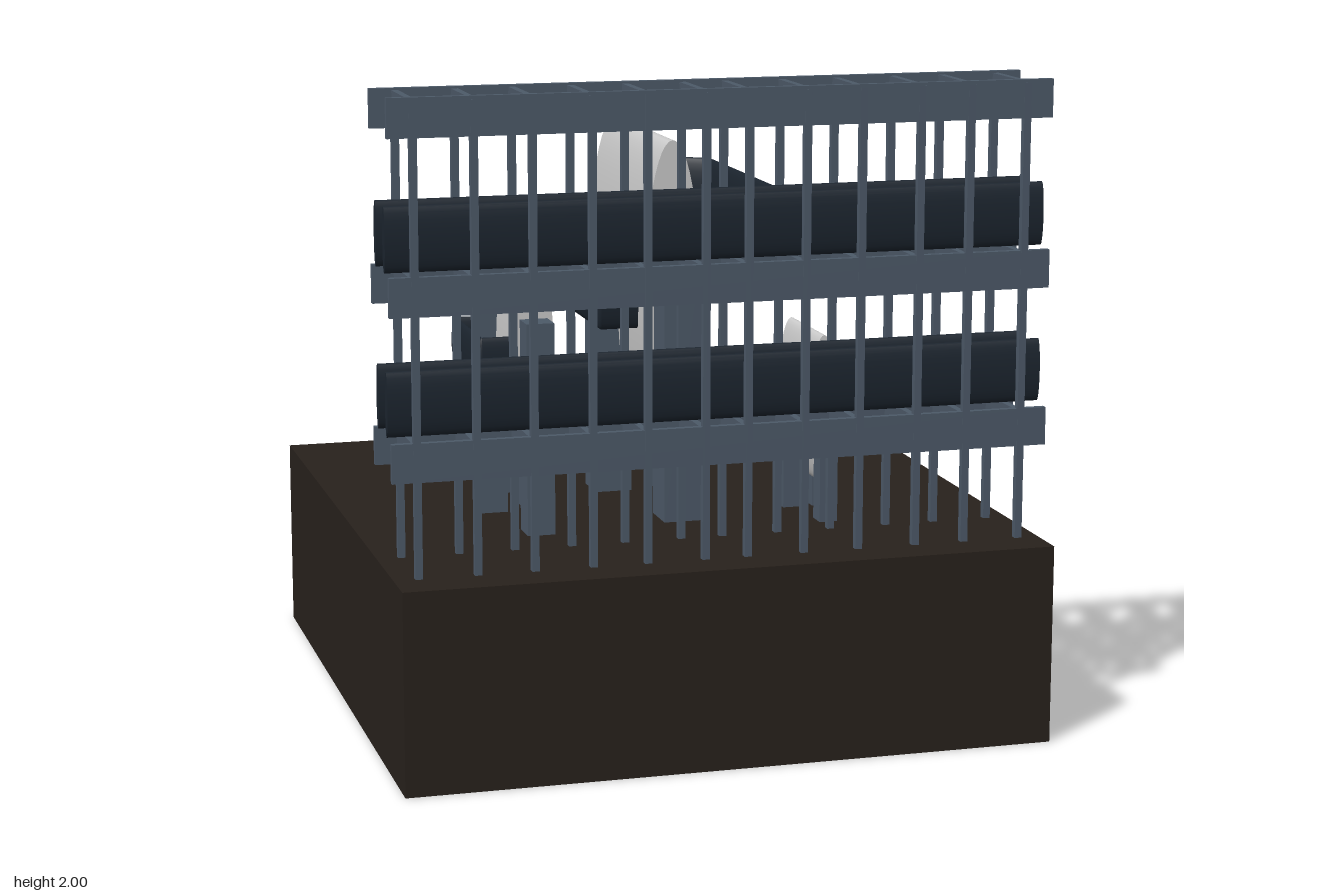
import * as THREE from 'three';
import { mergeGeometries } from 'three/addons/utils/BufferGeometryUtils.js';

const STRETCH = 5; // round parts are taller than they are wide
const GROUND = 0.61;
const steel = new THREE.MeshStandardMaterial({ color: 0x4d5a69 });
const darkPipe = new THREE.MeshStandardMaterial({ color: 0x1c252f });
const soil = new THREE.MeshStandardMaterial({ color: 0x28211c });
const grey = new THREE.MeshStandardMaterial({ color: 0xcccccc });

function add(parent, name, geometry, material) {
  const mesh = new THREE.Mesh(geometry, material);
  mesh.name = name;
  parent.add(mesh);
  return mesh;
}

// Box given by its extents on each axis
function box(parent, name, [x0, x1], [y0, y1], [z0, z1], material) {
  const mesh = add(parent, name, new THREE.BoxGeometry(x1 - x0, y1 - y0, z1 - z0), material);
  mesh.position.set((x0 + x1) / 2, (y0 + y1) / 2, (z0 + z1) / 2);
  return mesh;
}

// Pipe through points, with ball joints at the bends and an oval, upright section
function pipe(parent, name, points, radius) {
  const pts = points.map(([x, y, z]) => new THREE.Vector3(x, y / STRETCH, z));
  const up = new THREE.Vector3(0, 1, 0);
  const parts = [];
  for (let i = 0; i < pts.length - 1; i++) {
    const dir = pts[i + 1].clone().sub(pts[i]);
    const g = new THREE.CylinderGeometry(radius, radius, dir.length(), 20);
    g.applyQuaternion(new THREE.Quaternion().setFromUnitVectors(up, dir.normalize()));
    const mid = pts[i].clone().lerp(pts[i + 1], 0.5);
    parts.push(g.translate(mid.x, mid.y, mid.z));
    if (i > 0) parts.push(new THREE.SphereGeometry(radius, 20, 12).translate(...pts[i].toArray()));
  }
  add(parent, name, mergeGeometries(parts).scale(1, STRETCH, 1), darkPipe);
}

// Tank on four legs, with a side loop and an outlet running to the rack
function tankUnit(name, x, y, z, s, legTop, outletEndY) {
  const unit = new THREE.Group();
  unit.name = name;

  const shell = new THREE.CylinderGeometry(0.09 * s, 0.09 * s, 0.685 * s, 48).rotateX(Math.PI / 2);
  shell.scale(1, 0.49 / 0.09, 1);
  add(unit, 'tankShell', shell, grey).position.set(x, y, z);

  // end legs and side legs
  const leg = (legName, dx, dz) => box(unit, legName,
    [x + (dx - 0.06) * s, x + (dx + 0.06) * s], [GROUND, legTop],
    [z + (dz - 0.066) * s, z + (dz + 0.066) * s], steel);
  leg('frontLeg', 0, 0.4);
  leg('backLeg', 0, -0.4);
  leg('leftLeg', 0.097, -0.05);
  leg('rightLeg', -0.103, -0.05);

  const r = 0.021 * s;
  const at = (dx, dz, py = y) => [x + dx * s, py, z + dz * s];
  pipe(unit, 'sideLoopPipe', [at(-0.06, -0.27), at(-0.205, -0.27), at(-0.205, 0.25), at(-0.06, 0.25)], r);
  const outY = y + 0.295 * s;
  pipe(unit, 'outletPipe', [at(0.065, -0.03), at(0.2, 0.07), [x + 0.2 * s, 0, 0.67]]
    .map((p, i) => [p[0], i < 2 ? outY : outletEndY, p[2]]), r * 0.95);
  return unit;
}

function pipeRack() {
  const rack = new THREE.Group();
  rack.name = 'pipeRack';
  const columns = [-0.925, -0.75, -0.58, -0.405, -0.24, -0.065, 0.065, 0.24, 0.41, 0.59, 0.745, 0.92];
  const levels = [[0.895, 1.01], [1.375, 1.49], [1.885, 2]];
  const sides = [0.602, 0.862];

  // long rails and cross beams
  for (const [y0, y1] of levels) {
    for (const z of sides) box(rack, 'rail', [-1, 1], [y0, y1], [z - 0.01, z + 0.01], steel);
    for (const x of columns) {
      box(rack, 'crossBeam', [x - 0.01, x + 0.01], [y0 + 0.006, y1 - 0.006], sides, steel);
    }
  }
  // posts
  for (const x of columns) {
    for (const z of sides) {
      box(rack, 'post', [x - 0.011, x + 0.011], [GROUND, 1.99], [z - 0.011, z + 0.011], steel);
    }
  }
  // long pipes
  for (const y of [1.59, 1.113]) {
    for (const z of [0.67, 0.8]) pipe(rack, 'rackPipe', [[-1, y, z], [1, y, z]], 0.0192);
  }
  return rack;
}

export function createModel() {
  const model = new THREE.Group();
  model.name = 'tankYard';
  box(model, 'groundBlock', [-1, 0.985], [0, GROUND], [-1, 1], soil);
  model.add(
    pipeRack(),
    tankUnit('largeTank', 0, 1.29, -0.063, 1, 1.47, 1.585),
    tankUnit('mediumTank', -0.463, 1.125, 0.125, 0.715, 1.263, 1.59),
    tankUnit('smallTank', 0.432, 0.953, 0.304, 0.475, 1.033, 1.1),
  );
  return model;
}
